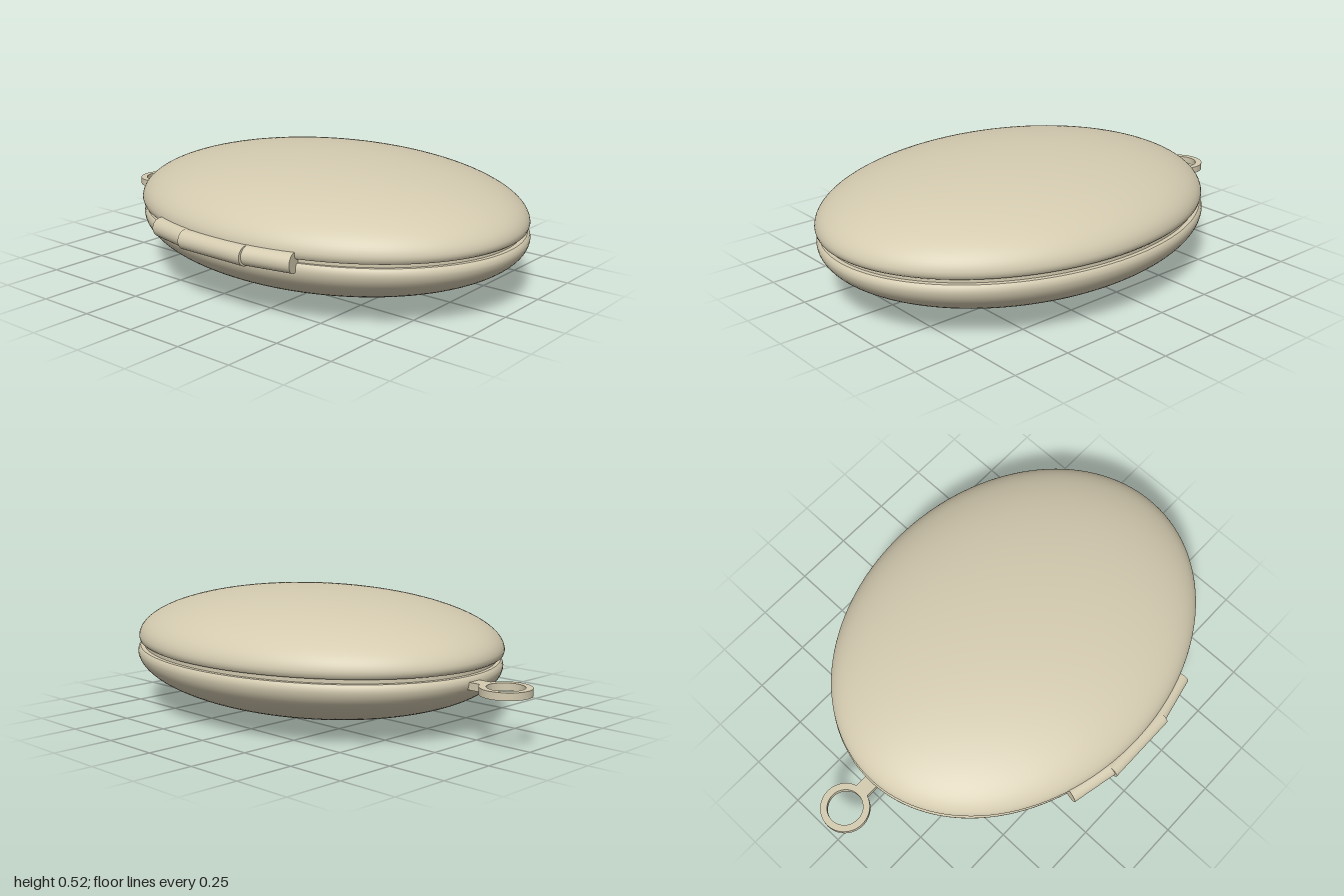
import * as THREE from 'three';

const metal = new THREE.MeshStandardMaterial({ color: 0xd4cbb0 });
metal.name = 'pale metal';

const RX = 0.686, RZ = 0.875, CZ = 0.125;

function add(parent, name, geometry) {
  const mesh = new THREE.Mesh(geometry, metal);
  mesh.name = name;
  parent.add(mesh);
  return mesh;
}

// oval solid turned from a unit-radius profile; points run bottom to top
function oval(parent, name, points, x) {
  const mesh = add(parent, name, new THREE.LatheGeometry(points, 128));
  mesh.scale.set(RX, 1, RZ);
  mesh.position.set(x, 0, CZ);
  return mesh;
}

// quarter ellipse from the rim (t = 0) to the pole (t = 1)
function dome(rimY, height) {
  return Array.from({ length: 33 }, (_, i) => {
    const a = (i / 32) * Math.PI / 2;
    return new THREE.Vector2(i === 32 ? 0 : Math.cos(a), rimY + height * Math.sin(a));
  });
}

const v = (x, y) => new THREE.Vector2(x, y);

export function createModel() {
  const locket = new THREE.Group();
  locket.name = 'locket';

  // upper shell: rolled rim, then dome
  const lid = new THREE.Group();
  lid.name = 'lid';
  locket.add(lid);
  oval(lid, 'lidShell', [v(0.985, 0.276), v(0.995, 0.283), ...dome(0.297, 0.223)], 0.015);
  oval(lid, 'lidUnderside', [v(0, 0.276), v(0.985, 0.276)], 0.015);

  // lower shell, mirrored
  const base = new THREE.Group();
  base.name = 'base';
  locket.add(base);
  oval(base, 'baseShell', [...dome(0.237, -0.235).reverse(), v(0.995, 0.251), v(0.985, 0.258)], 0.023);
  oval(base, 'baseTop', [v(0.985, 0.258), v(0, 0.258)], 0.023);

  // recessed lip in the seam
  oval(locket, 'innerLip', [v(0.965, 0.25), v(0.965, 0.285)], 0.019);

  // hinge: a straight middle barrel and two that follow the oval
  const hinge = new THREE.Group();
  hinge.name = 'hinge';
  locket.add(hinge);
  const barrel = (name, x1, z1, x2, z2) => {
    const a = new THREE.Vector3(x1, 0.265, z1), b = new THREE.Vector3(x2, 0.265, z2);
    const mesh = add(hinge, name, new THREE.CylinderGeometry(0.04, 0.04, a.distanceTo(b), 32));
    mesh.position.copy(a).add(b).multiplyScalar(0.5);
    mesh.quaternion.setFromUnitVectors(new THREE.Vector3(0, 1, 0), b.sub(a).normalize());
  };
  barrel('hingeMiddle', -0.67, -0.04, -0.67, 0.28);
  barrel('hingeBack', -0.617, -0.23, -0.66, -0.03);
  barrel('hingeFront', -0.66, 0.27, -0.617, 0.47);

  // hanging loop at the back
  const bail = new THREE.Group();
  bail.name = 'hangingLoop';
  locket.add(bail);
  const outline = new THREE.Shape().absarc(0, 0, 0.102, 0, Math.PI * 2);
  outline.holes.push(new THREE.Path().absarc(0, 0, 0.074, 0, Math.PI * 2, true));
  const ring = add(bail, 'ring', new THREE.ExtrudeGeometry(outline, {
    depth: 0.03, bevelEnabled: false, curveSegments: 48,
  }));
  ring.rotation.x = -Math.PI / 2;
  ring.position.set(0.02, 0.208, -0.898);
  const stem = add(bail, 'ringStem', new THREE.BoxGeometry(0.064, 0.03, 0.13));
  stem.position.set(0.02, 0.223, -0.75);

  return locket;
}
